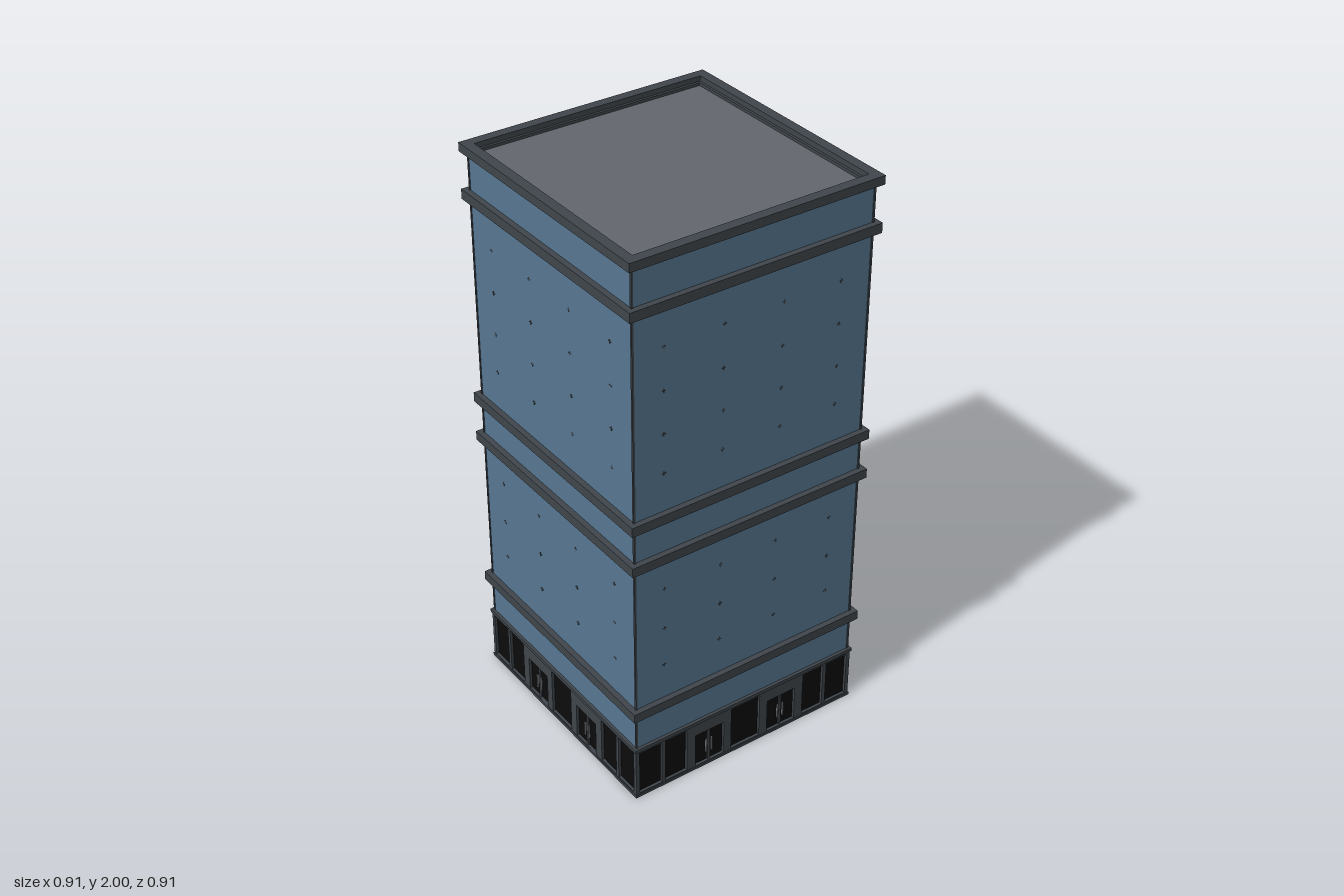
import * as THREE from 'three';

const material = (name, color) => {
  const m = new THREE.MeshStandardMaterial({ color });
  m.name = name;
  return m;
};

export function createModel() {
  const glass = material('blue glass', 0x587892);
  const frame = material('charcoal frame', 0x40464c);
  const roofing = material('grey roofing', 0x63666d);
  const black = material('dark shop glass', 0x0c0c0d);
  const metal = material('handle metal', 0x8a8f94);
  const model = new THREE.Group();
  model.name = 'officeTower';

  const add = (parent, name, geometry, mat, x = 0, y = 0, z = 0) => {
    const mesh = new THREE.Mesh(geometry, mat);
    mesh.name = name;
    mesh.position.set(x, y, z);
    parent.add(mesh);
    return mesh;
  };
  const box = (parent, name, mat, w, h, d, x, y, z) =>
    add(parent, name, new THREE.BoxGeometry(w, h, d), mat, x, y, z);

  const rectangle = (Type, x0, y0, x1, y1) => {
    const p = new Type();
    p.moveTo(x0, y0);
    p.lineTo(x1, y0);
    p.lineTo(x1, y1);
    p.lineTo(x0, y1);
    p.closePath();
    return p;
  };

  // Square ring lying flat between two heights
  const ring = (name, outer, inner, y0, y1) => {
    const shape = rectangle(THREE.Shape, -outer, -outer, outer, outer);
    shape.holes.push(rectangle(THREE.Path, -inner, -inner, inner, inner));
    const g = new THREE.ExtrudeGeometry(shape, { depth: y1 - y0, bevelEnabled: false });
    g.rotateX(-Math.PI / 2);
    add(model, name, g, frame, 0, y0, 0);
  };

  // Tower body and roof
  box(model, 'glassTower', glass, 0.87, 1.767, 0.87, 0, 1.0835, 0);
  box(model, 'roof', roofing, 0.84, 0.006, 0.84, 0, 1.969, 0);
  ring('parapet', 0.455, 0.42, 1.97, 2);
  ring('roofCurb', 0.42, 0.411, 1.968, 1.982);

  // Projecting bands around the tower
  for (const y of [0.353, 0.935, 1.086, 1.826]) ring('floorBand', 0.455, 0.42, y - 0.017, y + 0.017);

  // Slim posts on the corners
  for (const x of [-1, 1]) for (const z of [-1, 1])
    box(model, 'cornerPost', frame, 0.007, 1.77, 0.007, x * 0.434, 1.085, z * 0.434);

  // Ground floor core, base plate and top lip
  box(model, 'shopGlass', black, 0.864, 0.19, 0.864, 0, 0.1, 0);
  box(model, 'basePlate', frame, 0.89, 0.01, 0.89, 0, 0.005, 0);
  ring('groundFloorLip', 0.446, 0.42, 0.194, 0.207);

  // The four facades are alike
  const windows = [[-0.43, -0.34], [-0.326, -0.24], [-0.06, 0.057], [0.24, 0.326], [0.34, 0.43]];
  const doors = [-0.148, 0.148];
  const wall = rectangle(THREE.Shape, -0.442, 0.005, 0.442, 0.2);
  for (const [a, b] of windows) wall.holes.push(rectangle(THREE.Path, a, 0.014, b, 0.185));
  for (const x of doors) wall.holes.push(rectangle(THREE.Path, x - 0.058, 0.012, x + 0.058, 0.145));
  const wallGeometry = new THREE.ExtrudeGeometry(wall, { depth: 0.014, bevelEnabled: false });

  for (let side = 0; side < 4; side++) {
    const facade = new THREE.Group();
    facade.name = 'facade';
    facade.rotation.y = side * Math.PI / 2;
    model.add(facade);
    add(facade, 'shopFront', wallGeometry, frame, 0, 0, 0.428);

    // Double doors with a centre stile and upright handles
    for (const x of doors) {
      box(facade, 'doorStile', frame, 0.01, 0.133, 0.006, x, 0.0785, 0.434);
      for (const s of [-1, 1])
        box(facade, 'doorHandle', metal, 0.004, 0.055, 0.006, x + s * 0.011, 0.075, 0.438);
    }

    // Tiny crossed fixings on the glass
    for (const y of [0.505, 0.65, 0.805, 1.24, 1.38, 1.53, 1.68])
      for (const x of [-0.325, -0.11, 0.107, 0.322]) {
        box(facade, 'glassFixing', frame, 0.014, 0.003, 0.002, x, y, 0.435);
        box(facade, 'glassFixing', frame, 0.003, 0.014, 0.002, x, y, 0.435);
      }
  }
  return model;
}
